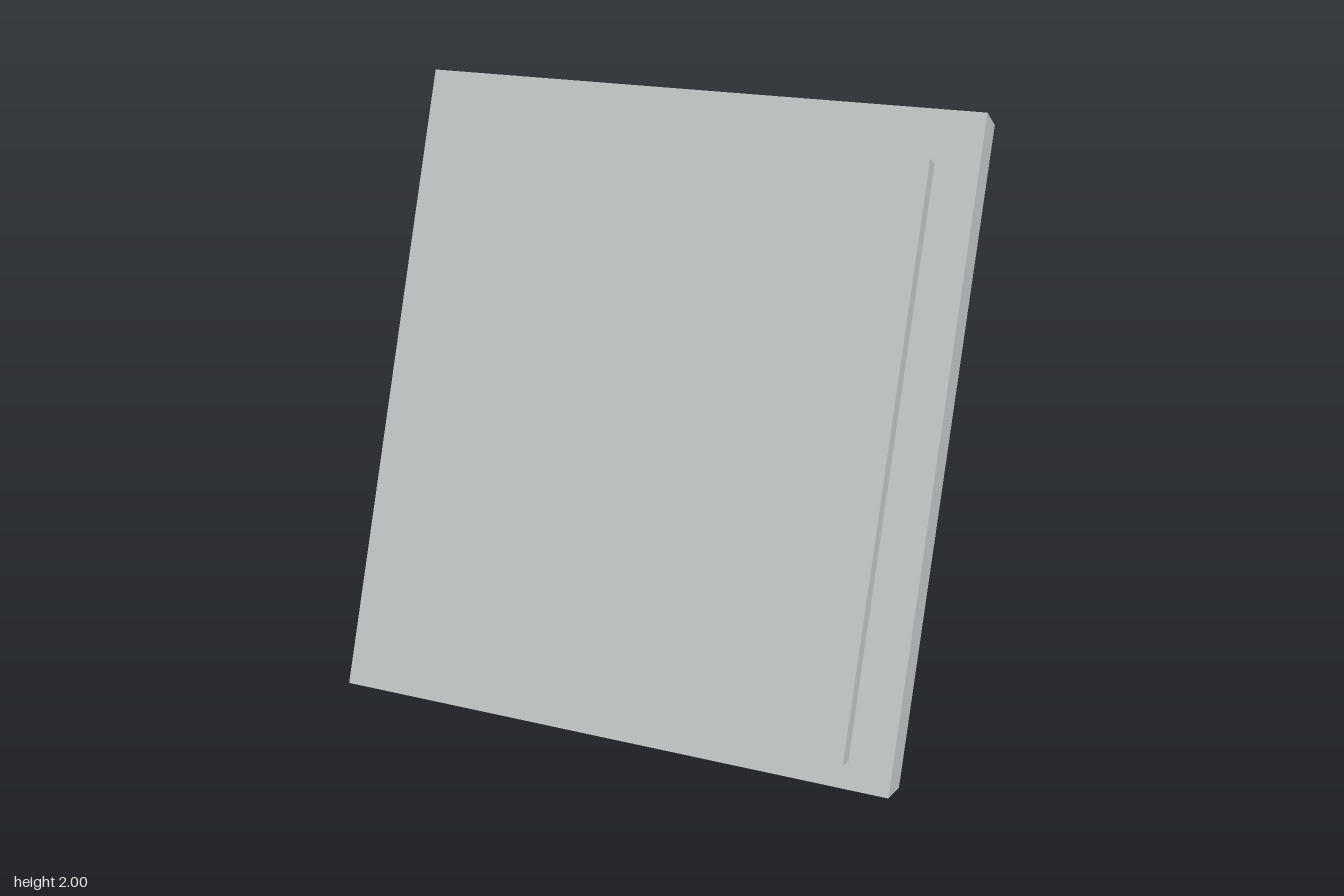
import * as THREE from 'three';

export function createModel() {
  const model = new THREE.Group();
  model.name = 'leaningPanel';

  const paleGrey = new THREE.MeshStandardMaterial({ color: 0xc0c4c4 });
  paleGrey.name = 'paleGrey';

  // Both slabs share one backward lean
  const leaning = new THREE.Group();
  leaning.name = 'leaningSlabs';
  leaning.position.set(0, 1, -0.02);
  leaning.rotation.x = THREE.MathUtils.degToRad(-24.1);
  model.add(leaning);

  const addSlab = (name, width, height, depth, y, z) => {
    const mesh = new THREE.Mesh(new THREE.BoxGeometry(width, height, depth), paleGrey);
    mesh.name = name;
    mesh.position.set(0, y, z);
    leaning.add(mesh);
  };

  // Thick backing slab
  const backDepth = 0.184;
  addSlab('backSlab', 1.87, 2.108, backDepth, 0, 0);

  // Smaller raised panel on the front, set slightly low
  const panelDepth = 0.083;
  addSlab('frontPanel', 1.595, 1.852, panelDepth, -0.041, (backDepth + panelDepth) / 2);

  return model;
}
